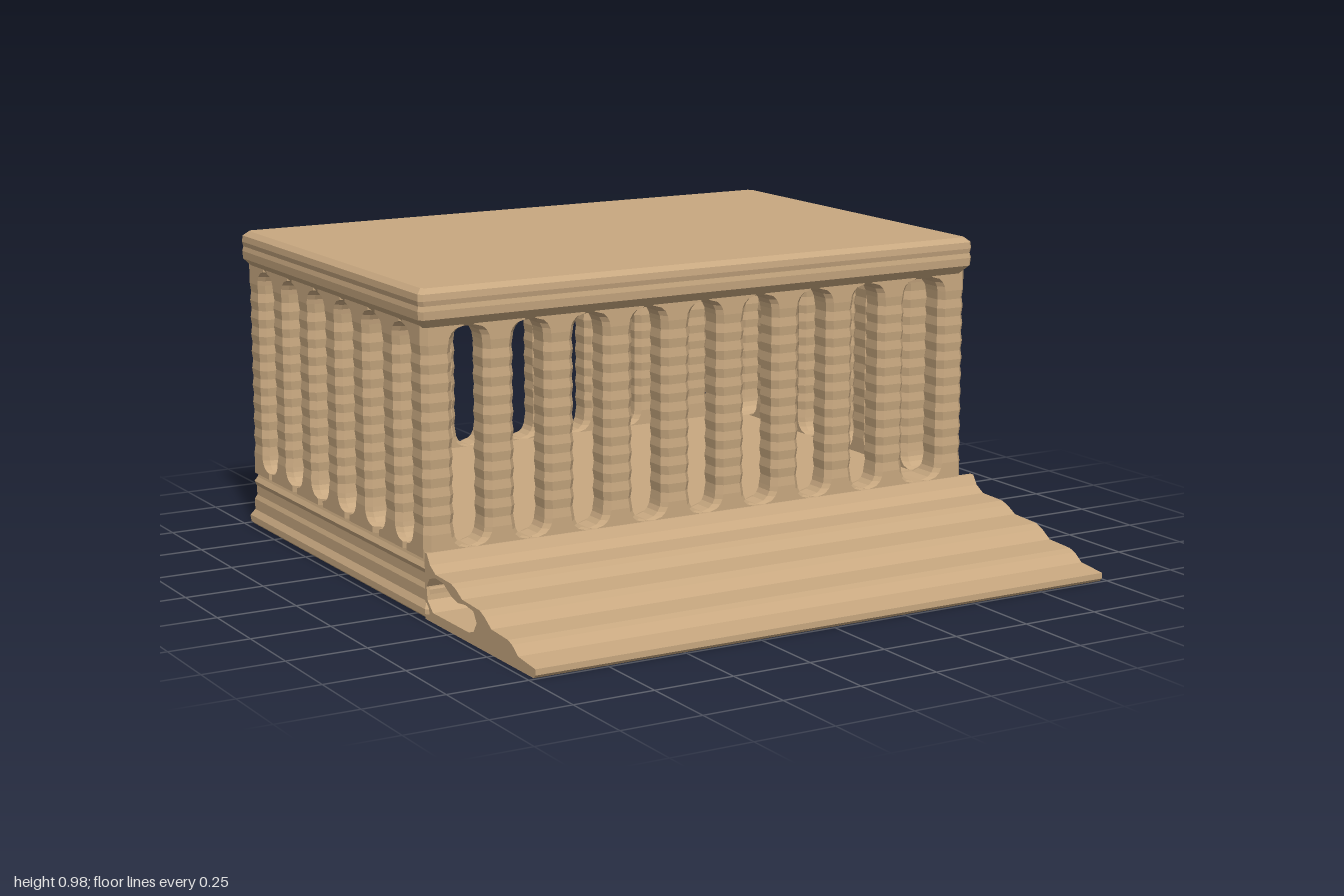
import * as THREE from 'three';

const material = new THREE.MeshStandardMaterial({ color: 0xc8a880, flatShading: true, roughness: 0.9 });

// Outer faces of the colonnade
const B = { x0: -0.98, x1: 0.94, z0: -0.96, z1: 0.33 };

// Solid through chamfered rectangles, each { y, x0, x1, z0, z1, c }
function loft(rings) {
  const pos = [], idx = [];
  for (const { y, x0, x1, z0, z1, c } of rings) {
    pos.push(
      x1, y, z0 + c, x1, y, z1 - c, x1 - c, y, z1, x0 + c, y, z1,
      x0, y, z1 - c, x0, y, z0 + c, x0 + c, y, z0, x1 - c, y, z0);
  }
  for (let i = 0; i < rings.length - 1; i++) {
    for (let j = 0; j < 8; j++) {
      const a = i * 8 + j, b = i * 8 + (j + 1) % 8;
      idx.push(a, a + 8, b, b, a + 8, b + 8);
    }
  }
  const t = (rings.length - 1) * 8;
  for (let j = 1; j < 7; j++) idx.push(0, j, j + 1, t, t + j + 1, t + j);
  const g = new THREE.BufferGeometry();
  g.setAttribute('position', new THREE.Float32BufferAttribute(pos, 3));
  g.setIndex(idx);
  g.computeVertexNormals();
  return g;
}

// Moulded slab: rows of [height, outward offset] around a rectangle
const moulding = (r, rows, c) => loft(rows.map(([y, o]) => ({
  y, x0: r.x0 - o, x1: r.x1 + o, z0: r.z0 - o, z1: r.z1 + o, c })));

// Ribbed column whose ends flare along the wall into arched openings
function column(x, z, flareX, flareZ) {
  const y0 = 0.2, y1 = 0.86, r = 0.05, rings = [];
  const add = (y, f, rib) => {
    const hx = r - rib + (flareX ? f : 0), hz = r - rib + (flareZ ? f : 0);
    rings.push({
      y, c: 0.018,
      x0: Math.max(B.x0, x - hx), x1: Math.min(B.x1, x + hx),
      z0: Math.max(B.z0, z - hz), z1: Math.min(B.z1, z + hz) });
  };
  const arc = [0, 0.15, 0.4, 0.7].map(t => [t * r, r - Math.sqrt(r * r - (r - t * r) ** 2)]);
  add(y0 - 0.02, r, 0);
  for (const [d, f] of arc) add(y0 + d, f, 0);
  const n = 20;
  for (let i = 0; i <= n; i++) add(y0 + r + (y1 - y0 - 2 * r) * i / n, 0, i % 2 ? 0.003 : 0);
  for (const [d, f] of arc.reverse()) add(y1 - d, f, 0);
  add(y1 + 0.03, r, 0);
  return loft(rings);
}

// Stepped flight with an open tunnel beneath, swept across the width
function stairs() {
  const v = ([z, y]) => new THREE.Vector2(z, y);
  const shape = new THREE.Shape([
    [0.32, 0], [0.99, 0], [1, 0.01], [1, 0.028], [0.9, 0.038], [0.865, 0.062], [0.84, 0.07],
    [0.74, 0.075], [0.7, 0.1], [0.67, 0.112], [0.56, 0.117], [0.52, 0.138], [0.49, 0.147],
    [0.39, 0.15], [0.355, 0.17], [0.335, 0.2], [0.32, 0.2],
  ].map(v));
  shape.holes.push(new THREE.Path([
    [0.335, 0.06], [0.33, 0.1], [0.35, 0.128], [0.39, 0.139], [0.44, 0.136], [0.49, 0.11],
    [0.53, 0.1], [0.58, 0.106], [0.63, 0.1], [0.65, 0.07], [0.63, 0.04], [0.6, 0.03], [0.37, 0.03],
  ].map(v)));
  const g = new THREE.ExtrudeGeometry(shape, { depth: 1.96, bevelEnabled: false });
  g.rotateY(-Math.PI / 2);
  g.translate(0.98, 0, 0);
  return g;
}

export function createModel() {
  const model = new THREE.Group();
  const add = (name, geometry, parent = model) => {
    const m = new THREE.Mesh(geometry, material);
    m.name = name;
    parent.add(m);
  };

  // Ground slab, plinth and steps
  add('groundSlab', moulding({ x0: -0.98, x1: 0.98, z0: -0.99, z1: 0.33 },
    [[0, -0.008], [0.008, 0], [0.022, 0], [0.032, -0.01]], 0.005));
  add('plinth', moulding({ x0: -0.97, x1: 0.95, z0: -0.955, z1: 0.325 },
    [[0.02, 0.02], [0.035, 0.02], [0.055, 0.008], [0.09, 0.008], [0.105, 0.002],
      [0.135, 0.002], [0.15, 0.008], [0.165, 0], [0.2, -0.01]], 0.008));
  add('stairs', stairs());

  // Columns around all four sides
  const columns = new THREE.Group();
  columns.name = 'columns';
  model.add(columns);
  const xs = [-0.93, -0.73, -0.53, -0.33, -0.13, 0.065, 0.265, 0.465, 0.66, 0.89];
  const zs = [0.28, 0.09, -0.12, -0.32, -0.52, -0.72, -0.91];
  xs.forEach((x, i) => zs.forEach((z, j) => {
    const side = i === 0 || i === xs.length - 1;
    const end = j === 0 || j === zs.length - 1;
    if (side || end) add(side && end ? 'cornerColumn' : 'column', column(x, z, end, side), columns);
  }));

  // Flat roof with a moulded edge
  add('roof', moulding({ x0: -0.98, x1: 0.925, z0: -0.94, z1: 0.335 },
    [[0.858, -0.01], [0.875, 0.005], [0.89, 0.018], [0.915, 0.02], [0.93, 0.017],
      [0.945, 0.02], [0.965, 0.018], [0.98, 0.002]], 0.012));

  return model;
}
